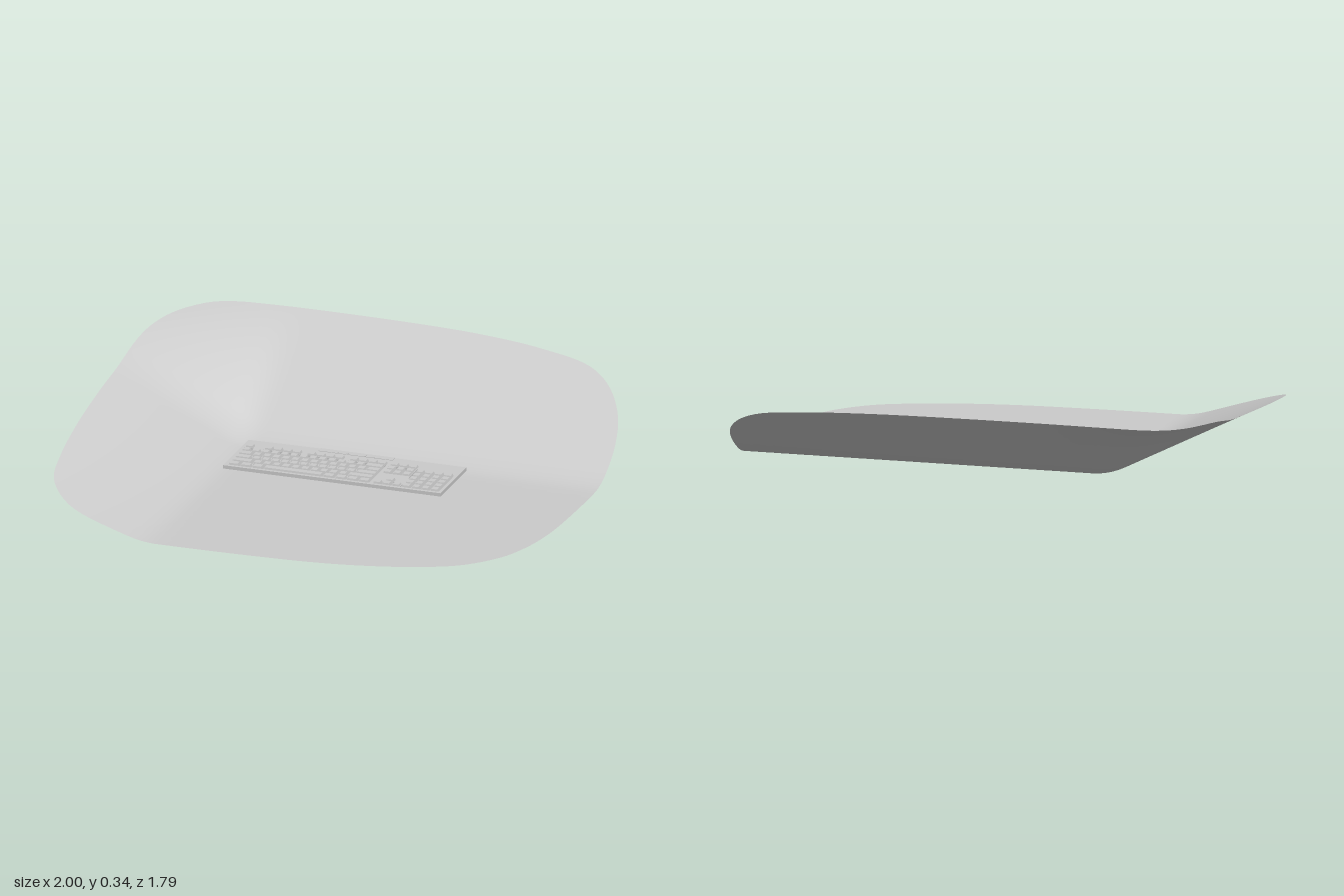
import * as THREE from 'three';
import { mergeGeometries } from 'three/addons/utils/BufferGeometryUtils.js';

const grey = new THREE.MeshStandardMaterial({ color: 0xcccccc });
const sheetGrey = new THREE.MeshStandardMaterial({ color: 0xcccccc, side: THREE.DoubleSide });

// Ramp that is 0 below zero, linear above, rounded within +-w
const ramp = (t, w) => (t < -w ? 0 : t > w ? t : (t + w) ** 2 / (4 * w));

// Height of the sheet: flat floor, rising to the back (-z) and to -x
function sheetHeight(x, z) {
  const back = 0.335 * ramp(-0.295 - z, 0.09) / 0.6;
  const side = (0.235 - 0.085 * z) * ramp(-0.49 - x, 0.06) / 0.51;
  return back + side - back * side / 0.335;
}

// Rim of the sheet as x, z pairs
const rim = [
  [-0.6, -0.895], [0, -0.894], [0.3, -0.882], [0.55, -0.855], [0.77, -0.805], [0.88, -0.725],
  [0.96, -0.6], [0.993, -0.47], [1, -0.35], [1, 0], [0.98, 0.3], [0.94, 0.47], [0.89, 0.58],
  [0.77, 0.71], [0.6, 0.79], [0.4, 0.845], [0.2, 0.875], [0, 0.887], [-0.2, 0.893], [-0.6, 0.893],
  [-0.72, 0.885], [-0.8, 0.86], [-0.87, 0.8], [-0.925, 0.71], [-0.96, 0.53], [-0.985, 0.27],
  [-0.997, 0], [-1, -0.2], [-1, -0.45], [-0.985, -0.6], [-0.95, -0.72], [-0.9, -0.8],
  [-0.83, -0.86], [-0.75, -0.885],
];

// Sheet: rings shrinking from the rim to the middle
function makeSheet() {
  const rings = 48, n = 180;
  const curve = new THREE.CatmullRomCurve3(rim.map(([x, z]) => new THREE.Vector3(x, 0, z)), true, 'centripetal');
  const edge = curve.getSpacedPoints(n).slice(0, n);
  const pos = [0, 0, 0], index = [];
  for (let r = 1; r <= rings; r++) {
    for (const p of edge) {
      const x = p.x * r / rings, z = p.z * r / rings;
      pos.push(x, sheetHeight(x, z), z);
    }
  }
  for (let i = 0; i < n; i++) {
    const j = (i + 1) % n;
    index.push(0, 1 + j, 1 + i);
    for (let r = 1; r < rings; r++) {
      const a = 1 + (r - 1) * n, b = a + n;
      index.push(a + i, a + j, b + i, a + j, b + j, b + i);
    }
  }
  const g = new THREE.BufferGeometry();
  g.setAttribute('position', new THREE.Float32BufferAttribute(pos, 3));
  g.setIndex(index);
  g.computeVertexNormals();
  return new THREE.Mesh(g, sheetGrey);
}

// Closed outline from x, z pairs, laid so that extrusion goes up
const outline = (pts, Type) => new Type(pts.map(([x, z]) => new THREE.Vector2(x, -z)));
const rect = (x0, x1, z0, z1) => [[x0, z0], [x1, z0], [x1, z1], [x0, z1]];
function slab(pts, y0, y1, holes = []) {
  const s = outline(pts, THREE.Shape);
  s.holes = holes.map((h) => outline(h, THREE.Path));
  const g = new THREE.ExtrudeGeometry(s, { depth: y1 - y0, bevelEnabled: false });
  g.rotateX(-Math.PI / 2).translate(0, y0, 0);
  return new THREE.Mesh(g, grey);
}

// Key cap: box with a narrower top
function keyCap(x, z, w, d) {
  const g = new THREE.BoxGeometry(w, 0.015, d).toNonIndexed();
  const p = g.attributes.position;
  for (let i = 0; i < p.count; i++) {
    if (p.getY(i) > 0) p.setXYZ(i, p.getX(i) * (1 - 0.008 / w), p.getY(i), p.getZ(i) * 0.8);
  }
  g.computeVertexNormals();
  return g.translate(x, 0.0155, z);
}

function makeKeyboard() {
  const board = new THREE.Group();
  const U = 0.0395, X0 = -0.447, Z0 = -0.149, ZF = -0.19, NAV = 0.156, PAD = 0.277;
  const caps = [], holes = [];
  const row = (x, z, widths) => {
    for (const w of widths) {
      caps.push(keyCap(x + w * U / 2, z, w * U - 0.007, U - 0.007));
      x += w * U;
    }
  };
  const ones = (n) => Array(n).fill(1);
  const z = (r) => Z0 + r * U;
  const well = (x, units, r0, r1) =>
    holes.push(rect(x - 0.001, x + units * U + 0.001, z(r0) - U / 2, z(r1) + U / 2 + 0.001));

  // Top row in separate groups
  for (const [x, count] of [[X0, 1], [X0 + 2 * U, 4], [X0 + 6.5 * U, 4], [X0 + 11 * U, 4], [NAV, 3]]) {
    row(x, ZF, ones(count));
    holes.push(rect(x, x + count * U - 0.001, ZF - U / 2, ZF + U / 2));
  }

  // Main block
  [
    [...ones(13), 2],
    [1.5, ...ones(12), 1.5],
    [1.75, ...ones(11), 2.25],
    [2.25, ...ones(10), 2.75],
    [1.25, 1.25, 1.25, 6.25, 1.25, 1.25, 1.25, 1.25],
  ].forEach((widths, r) => row(X0, z(r), widths));
  well(X0, 15, 0, 4);

  // Editing keys, arrow keys and number pad
  for (const r of [0, 1]) row(NAV, z(r), ones(3));
  well(NAV, 2.95, 0, 1);
  row(NAV + U, z(3), [1]);
  row(NAV, z(4), ones(3));
  const za = z(3) - U / 2, zb = z(4) - U / 2, zc = z(4) + U / 2;
  holes.push([[NAV + U, za], [NAV + 2 * U, za], [NAV + 2 * U, zb], [NAV + 2.95 * U, zb],
    [NAV + 2.95 * U, zc], [NAV, zc], [NAV, zb], [NAV + U, zb]]);
  for (let r = 0; r < 5; r++) row(PAD, z(r), ones(4));
  well(PAD, 4, 0, 4);

  // Case with a slightly bowed back edge
  const body = [[-0.457, -0.25], [-0.3, -0.254], [-0.15, -0.256], [0.45, -0.256], [0.45, 0.043], [-0.457, 0.043]];
  const base = slab(body, 0.004, 0.009);
  base.name = 'keyboardBase';
  const frame = slab(body, 0.009, 0.018, holes);
  frame.name = 'keyboardFrame';
  const keys = new THREE.Mesh(mergeGeometries(caps), grey);
  keys.name = 'keys';

  // Indicator panel with four small lamps
  const panel = slab(rect(-0.157, 0.153, -0.256, -0.227), 0.018, 0.02);
  panel.name = 'indicatorPanel';
  board.add(base, frame, keys, panel);
  for (const x of [-0.075, -0.037, 0.037, 0.075]) {
    const lamp = slab(rect(x - 0.003, x + 0.003, -0.244, -0.23), 0.02, 0.0215);
    lamp.name = 'indicatorLamp';
    board.add(lamp);
  }
  return board;
}

export function createModel() {
  const model = new THREE.Group();
  const sheet = makeSheet();
  sheet.name = 'curvedSheet';
  const keyboard = makeKeyboard();
  keyboard.name = 'keyboard';
  model.add(sheet, keyboard);
  return model;
}
